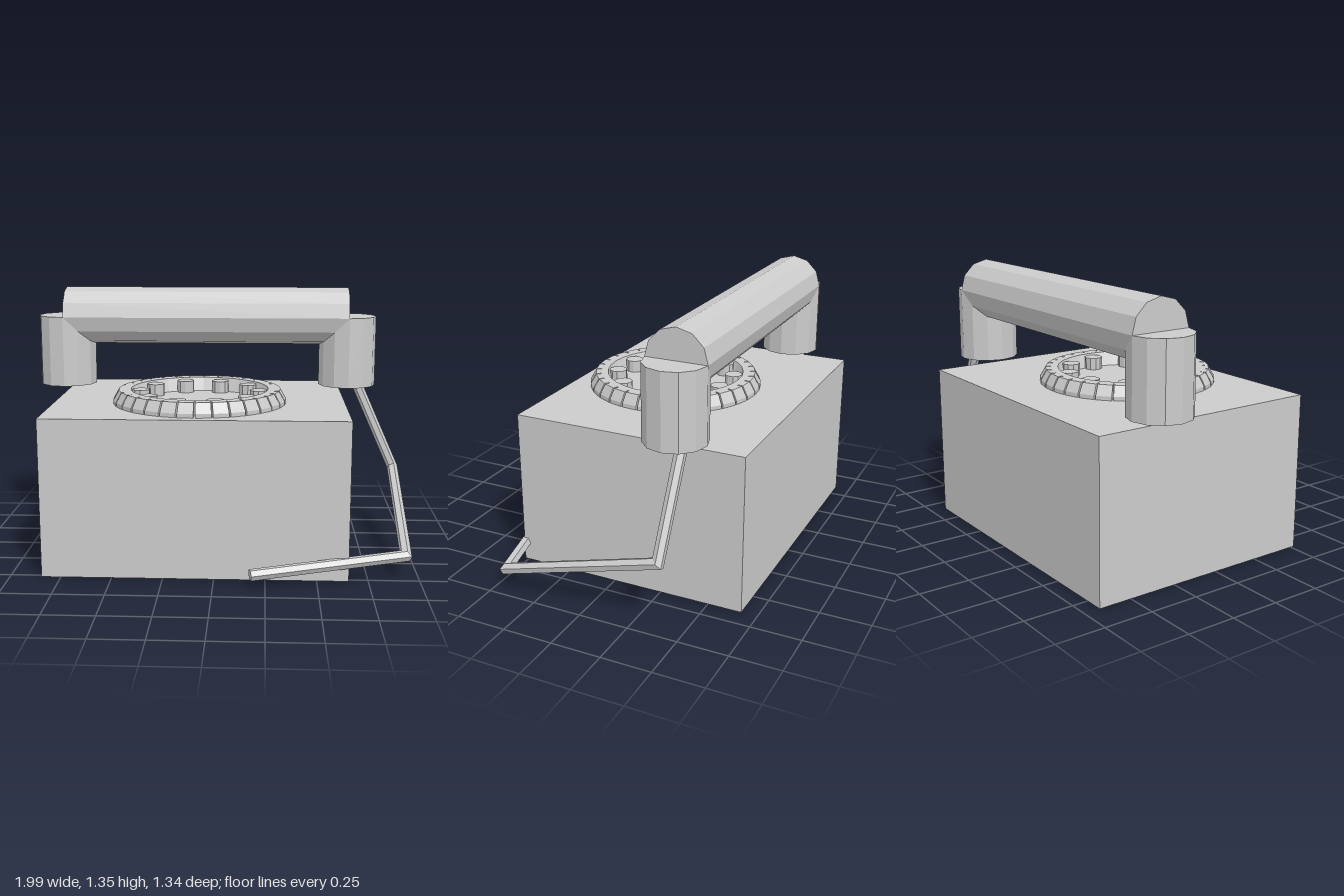
import * as THREE from 'three';

const material = new THREE.MeshStandardMaterial({ color: 0xcccccc, flatShading: true });

function addPart(parent, name, geometry, x = 0, y = 0, z = 0) {
  const mesh = new THREE.Mesh(geometry, material);
  mesh.name = name;
  mesh.position.set(x, y, z);
  parent.add(mesh);
  return mesh;
}

// Polygonal rod swept along straight segments, with mitred joints and closed ends
function mitredRod(path, radius, sides) {
  const dirs = path.slice(1).map((p, i) => p.clone().sub(path[i]).normalize());
  const u = new THREE.Vector3(0, 0, 1).cross(dirs[0]).normalize();
  const v = dirs[0].clone().cross(u);
  let ring = [];
  for (let i = 0; i < sides; i++) {
    const a = (i / sides) * Math.PI * 2;
    ring.push(path[0].clone().addScaledVector(u, radius * Math.cos(a)).addScaledVector(v, radius * Math.sin(a)));
  }
  const points = [...ring];
  const index = [];
  for (let s = 0; s < dirs.length; s++) {
    // slide the ring along the segment to the mitre plane at its far end
    const d = dirs[s], joint = path[s + 1];
    const normal = d.clone().add(dirs[s + 1] ?? d);
    ring = ring.map((p) => p.clone().addScaledVector(d, joint.clone().sub(p).dot(normal) / d.dot(normal)));
    points.push(...ring);
    for (let i = 0; i < sides; i++) {
      const a = s * sides + i, b = s * sides + ((i + 1) % sides);
      index.push(a, b, b + sides, a, b + sides, a + sides);
    }
  }
  const last = dirs.length * sides;
  for (let i = 1; i < sides - 1; i++) {
    index.push(0, i + 1, i, last, last + i, last + i + 1);
  }
  const geometry = new THREE.BufferGeometry().setFromPoints(points);
  geometry.setIndex(index);
  geometry.computeVertexNormals();
  return geometry;
}

function createDial() {
  const dial = new THREE.Group();
  dial.name = 'dial';
  const teeth = 32, height = 0.07;

  // Ring with a sloping inner wall
  const profile = [[0.33, 0], [0.39, 0], [0.39, height], [0.355, height], [0.33, 0]];
  addPart(dial, 'dialRing', new THREE.LatheGeometry(profile.map(([r, y]) => new THREE.Vector2(r, y)), teeth));

  // Bevelled teeth around the rim, narrowing toward the centre
  const section = new THREE.Shape([[0.386, 0], [0.445, 0], [0.445, 0.02], [0.416, height], [0.386, height]]
    .map(([r, y]) => new THREE.Vector2(r, y)));
  const tooth = new THREE.ExtrudeGeometry(section, { depth: 1, bevelEnabled: false });
  tooth.translate(0, 0, -0.5);
  const pos = tooth.attributes.position;
  for (let i = 0; i < pos.count; i++) {
    pos.setZ(i, pos.getZ(i) * (2 * pos.getX(i) * Math.tan(Math.PI / teeth) - 0.008));
  }
  tooth.computeVertexNormals();
  for (let i = 0; i < teeth; i++) {
    addPart(dial, 'rimTooth', tooth).rotation.y = ((i + 0.5) / teeth) * Math.PI * 2;
  }

  // Ten buttons inside the ring
  const button = new THREE.CylinderGeometry(0.046, 0.046, 0.062, 10);
  for (let i = 0; i < 10; i++) {
    const a = (i / 10) * Math.PI * 2;
    addPart(dial, 'dialButton', button, 0.305 * Math.cos(a), 0.031, 0.305 * Math.sin(a));
  }
  return dial;
}

function createHandset() {
  const handset = new THREE.Group();
  handset.name = 'handset';
  const radius = 0.154, left = 0.69, right = -0.845, axisY = 1.2;

  const grip = new THREE.CylinderGeometry(radius, radius, left - right, 12);
  grip.rotateZ(Math.PI / 2);
  addPart(handset, 'grip', grip, (left + right) / 2, axisY, 0);

  // Earpiece and mouthpiece hang down from the ends of the grip
  const cup = new THREE.CylinderGeometry(radius, radius, 0.375, 12);
  addPart(handset, 'earpiece', cup, right, axisY - 0.1875, 0);
  addPart(handset, 'mouthpiece', cup, left, axisY - 0.1875, 0);
  return handset;
}

export function createModel() {
  const model = new THREE.Group();
  model.name = 'telephone';

  addPart(model, 'body', new THREE.BoxGeometry(1.5, 0.79, 1.19), -0.095, 0.395, -0.075);

  const dial = createDial();
  dial.position.set(-0.095, 0.79, 0.025);
  model.add(dial);

  const handset = createHandset();
  handset.position.z = -0.347;
  model.add(handset);

  // Cord from the mouthpiece round to the front
  const path = [[0.73, 0.87, -0.405], [0.963, 0.35, -0.39], [0.938, 0.107, 0.437], [0.178, 0.07, 0.645]]
    .map((p) => new THREE.Vector3(...p));
  addPart(model, 'cord', mitredRod(path, 0.029, 6));

  return model;
}
